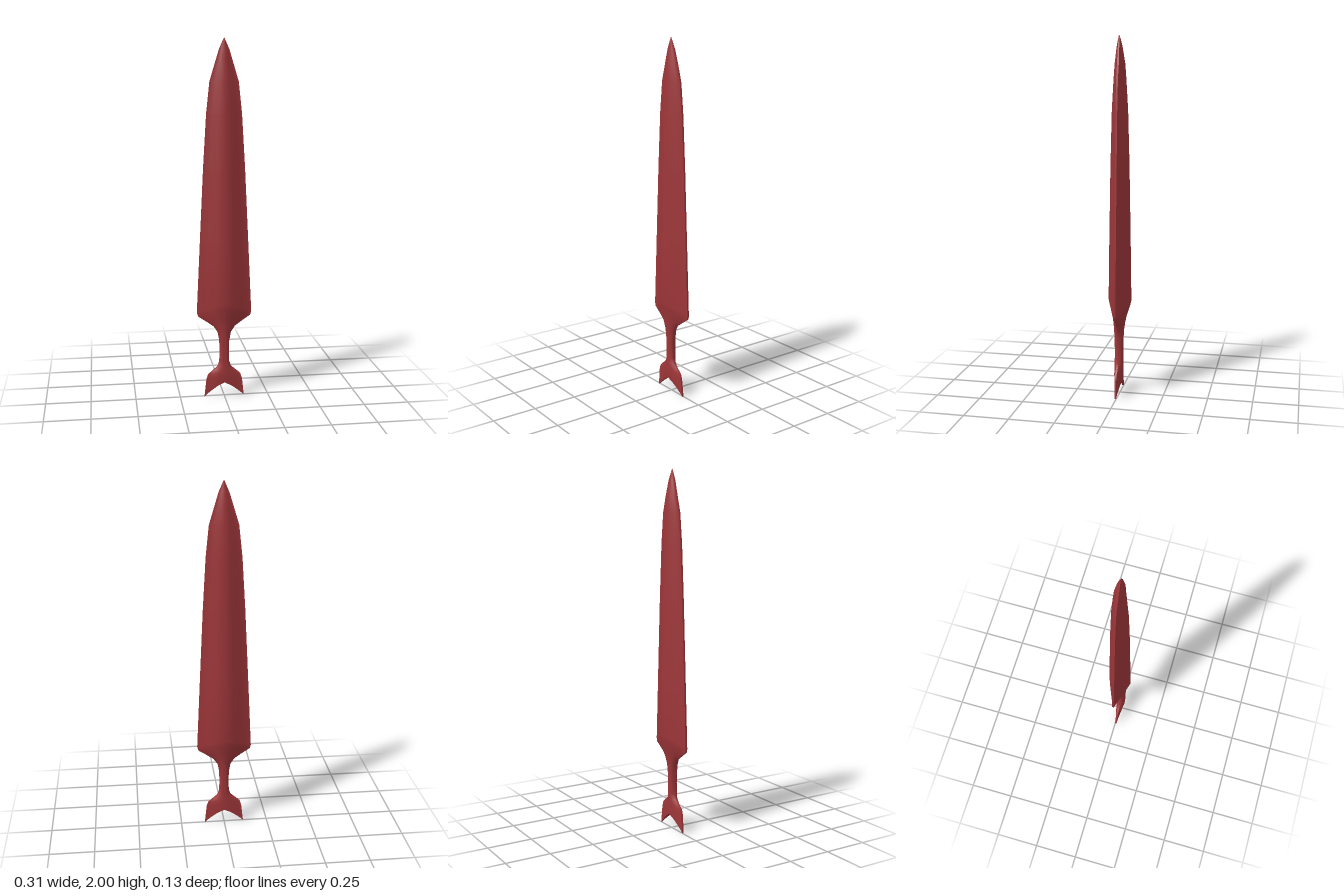
import * as THREE from 'three';
import { toCreasedNormals } from 'three/addons/utils/BufferGeometryUtils.js';

// Positions across a cross-section, from one cutting edge to the other
const SPREAD = [-1, -0.88, -0.65, -0.35, 0, 0.35, 0.65, 0.88, 1];
const N = SPREAD.length;

// Lofts rings from top to bottom. Each ring is
// [centre y, edge y, half width, half depth, roundness (1 diamond, 2 oval), z offset]
function loft(rings, capBottom) {
  const pos = [], index = [], M = N * 2;
  for (const [yc, ye, w, d, p, oz] of rings) {
    for (let k = 0; k < M; k++) {
      const front = k < N;
      const s = front ? SPREAD[k] : SPREAD[M - 1 - k];
      const a = Math.abs(s);
      const z = Math.max(d * Math.pow(1 - Math.pow(a, p), 1 / p), Math.min(0.005, d * 0.25));
      pos.push(s * w, yc + (ye - yc) * Math.pow(a, 1.3), oz + (front ? z : -z));
    }
  }
  for (let i = 0; i < rings.length - 1; i++) {
    for (let j = 0; j < M; j++) {
      const a = i * M + j, b = i * M + (j + 1) % M;
      index.push(a, a + M, b + M, a, b + M, b);
    }
  }
  if (capBottom) {
    const o = (rings.length - 1) * M;
    for (let k = 0; k < N - 1; k++) {
      const f0 = o + k, f1 = f0 + 1, b0 = o + M - 1 - k, b1 = b0 - 1;
      index.push(f0, b0, b1, f0, b1, f1);
    }
  }
  const g = new THREE.BufferGeometry();
  g.setAttribute('position', new THREE.Float32BufferAttribute(pos, 3));
  g.setIndex(index);
  return toCreasedNormals(g, 0.9);
}

export function createModel() {
  const group = new THREE.Group();
  const red = new THREE.MeshStandardMaterial({ color: 0x9e3639 });
  red.name = 'dark red';

  const add = (name, geometry) => {
    const mesh = new THREE.Mesh(geometry, red);
    mesh.name = name;
    group.add(mesh);
  };

  // Diamond blade, sloping shoulders and upper half of the grip
  add('blade', loft([
    [2.0, 2.0, 0.002, 0.002, 1, 0.004],
    [1.94, 1.94, 0.028, 0.016, 1.1, 0.002],
    [1.85, 1.85, 0.055, 0.029, 1.1, 0],
    [1.77, 1.77, 0.079, 0.035, 1.1, 0],
    [1.6, 1.6, 0.097, 0.045, 1.05, 0],
    [1.3, 1.3, 0.115, 0.053, 1.05, 0],
    [0.9, 0.9, 0.134, 0.06, 1.05, 0],
    [0.55, 0.495, 0.153, 0.065, 1.05, 0],
    [0.525, 0.475, 0.147, 0.06, 1.1, 0],
    [0.46, 0.44, 0.095, 0.041, 1.3, 0.002],
    [0.425, 0.415, 0.06, 0.034, 1.6, 0.003],
    [0.38, 0.38, 0.037, 0.029, 1.8, 0.005],
    [0.33, 0.33, 0.028, 0.026, 1.9, 0.005],
    [0.27, 0.27, 0.026, 0.025, 1.9, 0.005],
  ], false));

  // Lower grip spreading into the forked end
  add('forkedPommel', loft([
    [0.27, 0.27, 0.026, 0.025, 1.9, 0.005],
    [0.21, 0.21, 0.028, 0.025, 1.8, 0.005],
    [0.185, 0.18, 0.038, 0.025, 1.6, 0.006],
    [0.165, 0.155, 0.067, 0.025, 1.4, 0.006],
    [0.15, 0.133, 0.092, 0.025, 1.3, 0.006],
    [0.13, 0.105, 0.101, 0.025, 1.3, 0.006],
    [0.088, 0.005, 0.112, 0.021, 1.15, 0.004],
  ], true));

  return group;
}
